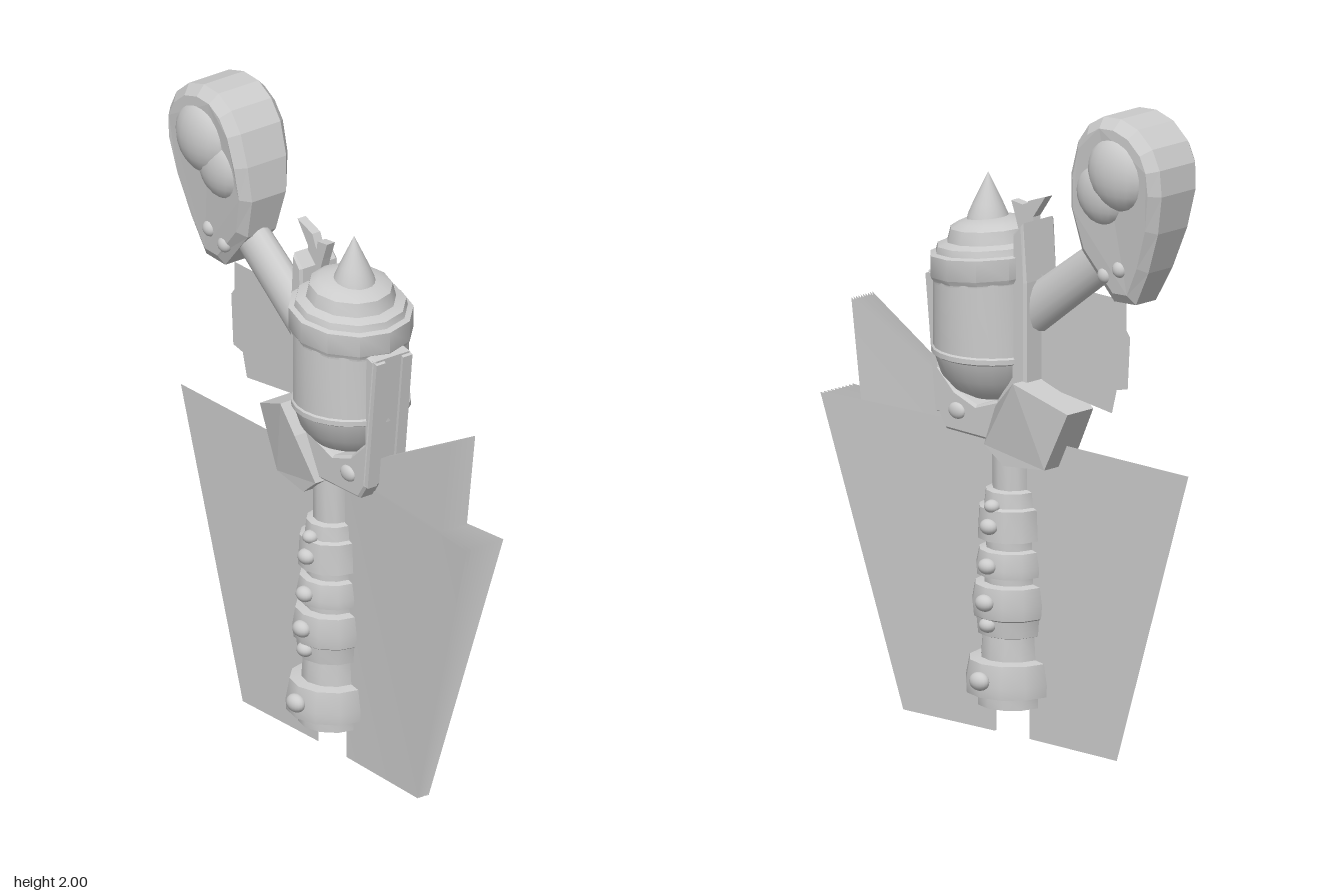
import * as THREE from 'three';
import { toCreasedNormals } from 'three/addons/utils/BufferGeometryUtils.js';

const smooth = new THREE.MeshStandardMaterial({ color: 0xcccccc });
const flat = new THREE.MeshStandardMaterial({ color: 0xcccccc, flatShading: true });
const sheet = new THREE.MeshStandardMaterial({ color: 0xcccccc, side: THREE.DoubleSide });

const v2 = (list) => list.map(([a, b]) => new THREE.Vector2(a, b));

export function createModel() {
  const model = new THREE.Group();
  const add = (name, geometry, material = smooth) => {
    const mesh = new THREE.Mesh(geometry, material);
    mesh.name = name;
    model.add(mesh);
    return mesh;
  };
  // Turned part from [radius, y] points
  const turned = (points, sides) =>
    toCreasedNormals(new THREE.LatheGeometry(v2(points), sides), 0.62);
  // Side outline in [z, y], extruded across x and centred
  const slab = (outline, width, bevel = 0) => {
    const g = new THREE.ExtrudeGeometry(new THREE.Shape(v2(outline)), {
      depth: width - 2 * bevel, bevelEnabled: bevel > 0, bevelSize: bevel,
      bevelThickness: bevel, bevelOffset: -bevel, bevelSegments: 1,
    });
    return g.translate(0, 0, bevel - width / 2).rotateY(-Math.PI / 2);
  };
  // Move vertices by a rule
  const warp = (g, rule) => {
    const p = g.attributes.position, v = new THREE.Vector3();
    for (let i = 0; i < p.count; i++) {
      v.fromBufferAttribute(p, i);
      rule(v);
      p.setXYZ(i, v.x, v.y, v.z);
    }
    g.computeVertexNormals();
    return g;
  };
  // Mirrored pair of rounded studs
  const studs = (name, x, y, z, rx, ry, rz = ry) => {
    for (const s of [-1, 1]) {
      const m = add(name, new THREE.SphereGeometry(1, 18, 12));
      m.scale.set(rx, ry, rz);
      m.position.set(s * x, y, z);
    }
  };

  // Ringed handle
  add('handle', turned([
    [0, 0.105], [0.105, 0.105], [0.105, 0.14], [0.14, 0.145], [0.142, 0.18], [0.13, 0.245],
    [0.095, 0.25], [0.09, 0.32], [0.105, 0.325], [0.11, 0.375], [0.118, 0.38], [0.122, 0.42],
    [0.113, 0.475], [0.085, 0.48], [0.085, 0.5], [0.108, 0.505], [0.11, 0.53], [0.1, 0.58],
    [0.08, 0.585], [0.08, 0.61], [0.105, 0.615], [0.1, 0.71], [0.085, 0.715], [0.08, 0.76],
    [0.06, 0.765], [0.06, 1.0], [0, 1.0],
  ], 12));
  for (const [y, x, r] of [[0.195, 0.14, 0.035], [0.36, 0.105, 0.028], [0.43, 0.118, 0.032],
    [0.54, 0.107, 0.03], [0.66, 0.1, 0.03], [0.72, 0.085, 0.025]])
    studs('handleStud', x, y, 0, 0.025, r * 0.8, r);

  // Canister with domed bottom
  const cz = 0.085;
  add('canister', turned([
    [0, 1.02], [0.06, 1.03], [0.11, 1.055], [0.15, 1.1], [0.17, 1.16], [0.178, 1.165],
    [0.178, 1.18], [0.173, 1.185], [0.173, 1.42],
  ], 24)).position.z = cz;

  // Tilted stepped cap and upright spike
  const cap = new THREE.LatheGeometry(v2([
    [0.17, 1.39], [0.177, 1.39], [0.177, 1.395], [0.187, 1.41], [0.187, 1.475], [0.17, 1.48],
    [0.165, 1.5], [0.135, 1.51], [0.125, 1.55], [0.1, 1.565], [0.06, 1.575], [0, 1.58],
  ]), 12);
  warp(cap, (v) => { v.y -= 0.1 * v.z; });
  add('canisterCap', toCreasedNormals(cap, 0.62)).position.z = cz;
  add('spike', turned([[0.066, 1.555], [0.06, 1.58], [0.045, 1.615], [0, 1.71]], 20)).position.z = 0.1;

  // Cradle: front plate, base and rear spine
  add('cradle', slab([
    [0.285, 1.385], [0.24, 1.395], [0.235, 1.1], [0.17, 1.04], [0.085, 1.01], [0, 1.04],
    [-0.06, 1.12], [-0.065, 1.56], [-0.105, 1.6], [-0.12, 1.42], [-0.12, 1.1], [-0.05, 0.91],
    [0.21, 0.915], [0.24, 0.96],
  ], 0.14, 0.008), flat);
  for (const s of [-1, 1]) {
    const rail = add('cradleRail', slab([[0.293, 1.375], [0.27, 1.385], [0.23, 0.97], [0.25, 0.96]], 0.035), flat);
    rail.position.x = s * 0.05;
  }
  studs('cradleStud', 0.07, 0.98, 0.16, 0.015, 0.025, 0.033);

  // Rear flange, narrowing backward and downward
  const flange = slab([[0.03, 0.905], [-0.04, 1.04], [-0.11, 1.12], [-0.28, 1.045], [-0.19, 0.86], [-0.04, 0.85]], 2);
  warp(flange, (v) => {
    const back = THREE.MathUtils.clamp((-v.z - 0.1) / 0.18, 0, 1);
    const high = THREE.MathUtils.clamp((v.y - 0.85) / 0.2, 0, 1);
    v.x *= (0.115 - 0.06 * back) * (0.7 + 0.3 * high);
  });
  add('rearFlange', flange, flat);

  // Barbed crest on top of the spine
  add('crest', slab([[-0.01, 1.645], [-0.03, 1.59], [-0.06, 1.5], [-0.11, 1.5], [-0.1, 1.61],
    [-0.15, 1.68], [-0.08, 1.655], [-0.06, 1.61], [-0.055, 1.64]], 0.03), flat);

  // Sloping neck
  const neckPath = new THREE.Vector3(0, 0.28, -0.38);
  const neck = add('neck', new THREE.CylinderGeometry(0.062, 0.07, neckPath.length(), 16));
  neck.quaternion.setFromUnitVectors(new THREE.Vector3(0, 1, 0), neckPath.clone().normalize());
  neck.position.set(0, 1.46, -0.28);
  neck.scale.x = 0.75;

  // Club head, thinner toward the neck
  const head = slab([
    [-0.305, 1.69], [-0.315, 1.8], [-0.345, 1.9], [-0.39, 1.96], [-0.45, 1.995], [-0.52, 2.0],
    [-0.59, 1.98], [-0.65, 1.93], [-0.68, 1.87], [-0.685, 1.79], [-0.66, 1.67], [-0.61, 1.54],
    [-0.55, 1.43], [-0.46, 1.425], [-0.34, 1.56],
  ], 0.21, 0.03);
  warp(head, (v) => { v.x *= THREE.MathUtils.clamp(0.55 + (v.y - 1.42) * 1.1, 0.55, 1); });
  add('clubHead', head, flat);
  studs('clubBoss', 0.07, 1.835, -0.515, 0.07, 0.118);
  studs('clubSideBoss', 0.065, 1.76, -0.44, 0.055, 0.1);
  studs('clubStud', 0.06, 1.505, -0.44, 0.02, 0.025);
  studs('clubStud', 0.065, 1.535, -0.505, 0.02, 0.025);

  // Thin ragged vane under the neck
  const plane = (name, outline) => add(name,
    new THREE.ShapeGeometry(new THREE.Shape(v2(outline))).rotateY(-Math.PI / 2), sheet);
  plane('neckVane', [[-0.1, 1.44], [-0.19, 1.42], [-0.47, 1.42], [-0.47, 1.33], [-0.485, 1.31],
    [-0.475, 1.15], [-0.43, 1.14], [-0.41, 1.065], [-0.2, 1.09], [-0.1, 1.12]]);

  // Rear vane
  plane('rearVane', [[-0.05, 0.93], [-0.725, 0.93], [-0.43, 0.005], [-0.07, 0.005], [-0.07, 0.11], [-0.05, 0.2]]);

  // Fanned front vanes: outer corners spread, inner edge stays together
  const count = 10;
  for (let i = 0; i < count; i++) {
    const t = (2 * i) / (count - 1) - 1;
    const lower = new THREE.ShapeGeometry(new THREE.Shape(v2([
      [0.06, 0.93], [0.07, 0.005], [0.43, 0.005], [0.725, 0.93]]))).rotateY(-Math.PI / 2);
    const upper = new THREE.ShapeGeometry(new THREE.Shape(v2([
      [0.22, 0.93], [0.58, 0.93], [0.62, 1.235], [0.22, 1.03]]))).rotateY(-Math.PI / 2);
    warp(lower, (v) => { v.x = t * (v.z > 0.6 ? 0.068 : v.z > 0.3 ? 0.02 : 0.004); });
    warp(upper, (v) => { v.x = t * (v.z > 0.5 ? 0.045 : 0.015); });
    add('frontVane', lower, sheet);
    add('upperFrontVane', upper, sheet);
  }
  return model;
}
